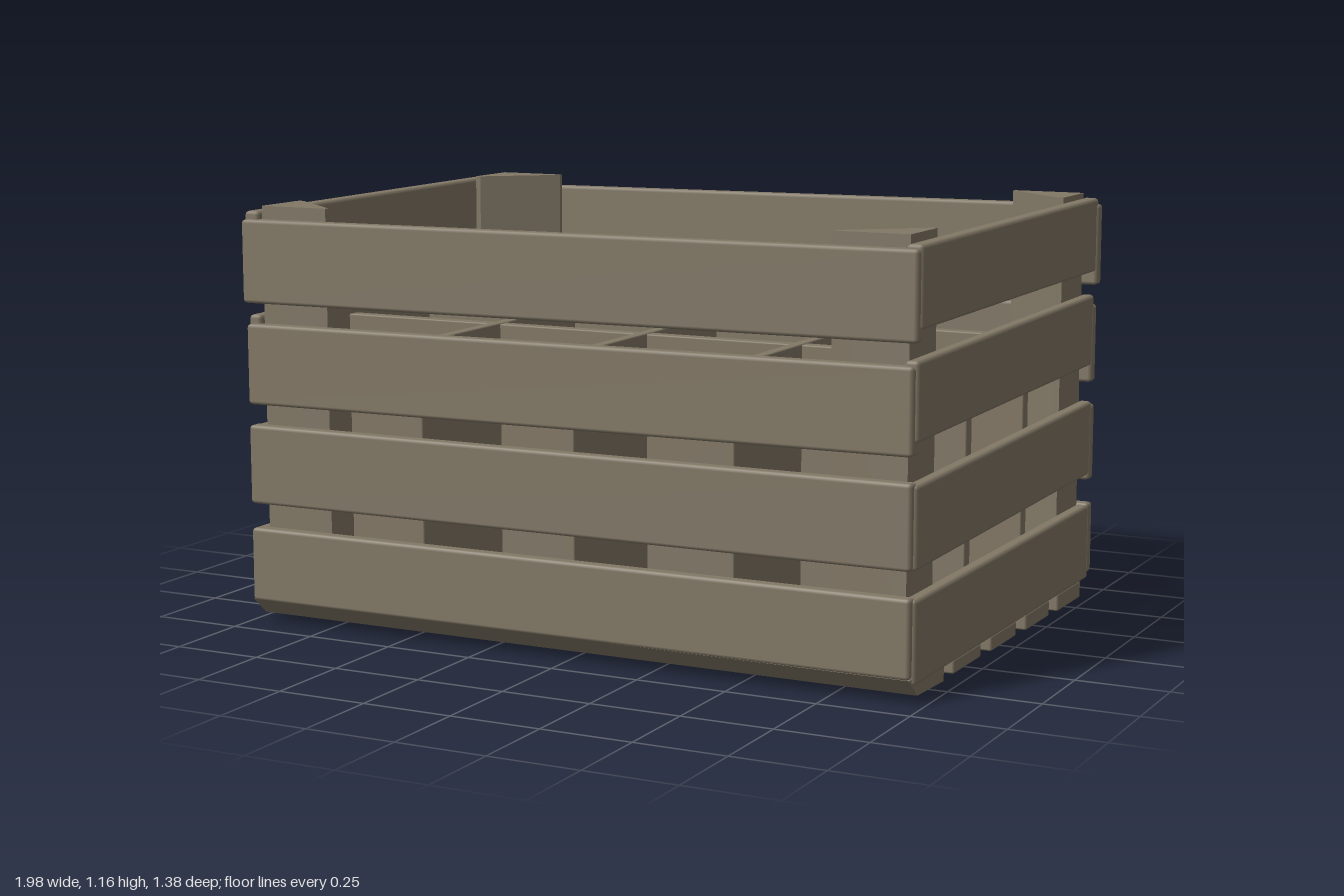
import * as THREE from 'three';
import { RoundedBoxGeometry } from 'three/addons/geometries/RoundedBoxGeometry.js';

export function createModel() {
  const crate = new THREE.Group();
  crate.name = 'crate';
  const wood = new THREE.MeshStandardMaterial({ color: 0x827866 });
  wood.name = 'weathered wood';

  const add = (geo, name) => {
    const mesh = new THREE.Mesh(geo, wood);
    mesh.name = name;
    crate.add(mesh);
    return mesh;
  };

  // Board between two corners with softened edges; tilt lifts its far end slightly
  function board(name, x0, x1, y0, y1, z0, z1, r = 0.01, tiltX = 0, tiltZ = 0) {
    const geo = new RoundedBoxGeometry(x1 - x0, y1 - y0, z1 - z0, 1, r);
    geo.translate((x0 + x1) / 2, (y0 + y1) / 2, (z0 + z1) / 2);
    const p = geo.attributes.position;
    for (let i = 0; i < p.count; i++) {
      p.setY(i, p.getY(i) + tiltX * p.getX(i) + tiltZ * p.getZ(i));
    }
    return add(geo, name);
  }

  // Long boards, front and back: bottom, top, tilt
  const longRows = [
    [0.065, 0.27, 0.002], [0.338, 0.557, 0.002],
    [0.618, 0.84, 0.006], [0.897, 1.125, 0.006],
  ];
  longRows.forEach(([y0, y1, tilt], i) => {
    const half = i === 3 ? 0.99 : 0.98;
    board('frontBoard', -half, half - 0.01, y0, y1, 0.645, 0.688, 0.01, tilt);
    board('backBoard', -half, half, y0, y1, -0.69, -0.647, 0.01, tilt);
  });

  // Short boards, left and right
  const shortRows = [
    [0.05, 0.267, 0], [0.347, 0.56, -0.012],
    [0.664, 0.866, -0.012], [0.937, 1.145, -0.006],
  ];
  shortRows.forEach(([y0, y1, tilt], i) => {
    const outer = i === 3 ? 0.985 : 0.978;
    board('leftBoard', 0.94, outer, y0, y1, -0.67, 0.67, 0.01, 0, tilt);
    board('rightBoard', -outer - 0.005, -0.945, y0, y1, -0.67, 0.67, 0.01, 0, tilt);
  });

  // Triangular corner posts
  for (const sx of [-1, 1]) {
    for (const sz of [-1, 1]) {
      const shape = new THREE.Shape([
        new THREE.Vector2(sx * 0.945, -sz * 0.65),
        new THREE.Vector2(sx * 0.74, -sz * 0.65),
        new THREE.Vector2(sx * 0.74, -sz * 0.635),
        new THREE.Vector2(sx * 0.93, -sz * 0.475),
        new THREE.Vector2(sx * 0.945, -sz * 0.475),
      ]);
      const geo = new THREE.ExtrudeGeometry(shape, { depth: 1.11, bevelEnabled: false });
      geo.rotateX(-Math.PI / 2);
      geo.translate(0, sx > 0 ? 0.053 : 0.045, 0);
      add(geo, 'cornerPost');
    }
  }

  // Floor slats
  const slats = [[0.18, 0.38], [-0.09, 0.105], [-0.36, -0.168], [-0.63, -0.432]];
  slats.forEach(([z0, z1], i) => {
    board('floorSlat', -0.98, 0.97, 0.012 - i * 0.004, 0.05, z0, z1, 0.006);
  });

  // Front floor slat with a sloping outer edge
  const edge = new THREE.Shape([
    new THREE.Vector2(-0.45, 0.012), new THREE.Vector2(-0.45, 0.05),
    new THREE.Vector2(-0.645, 0.068), new THREE.Vector2(-0.685, 0.068),
    new THREE.Vector2(-0.63, 0.018),
  ]);
  const edgeGeo = new THREE.ExtrudeGeometry(edge, { depth: 1.95, bevelEnabled: false });
  edgeGeo.rotateY(Math.PI / 2);
  edgeGeo.translate(-0.98, 0, 0);
  add(edgeGeo, 'frontFloorSlat');

  // Interlocking bottle dividers
  for (const x of [-0.46, 0, 0.46]) {
    board('crossDivider', x - 0.016, x + 0.016, 0.045, 0.815, -0.65, 0.65, 0.004);
  }
  for (const z of [-0.212, 0.218]) {
    board('longDivider', -0.945, 0.94, 0.045, 0.812, z - 0.02, z + 0.02, 0.004);
  }

  return crate;
}
